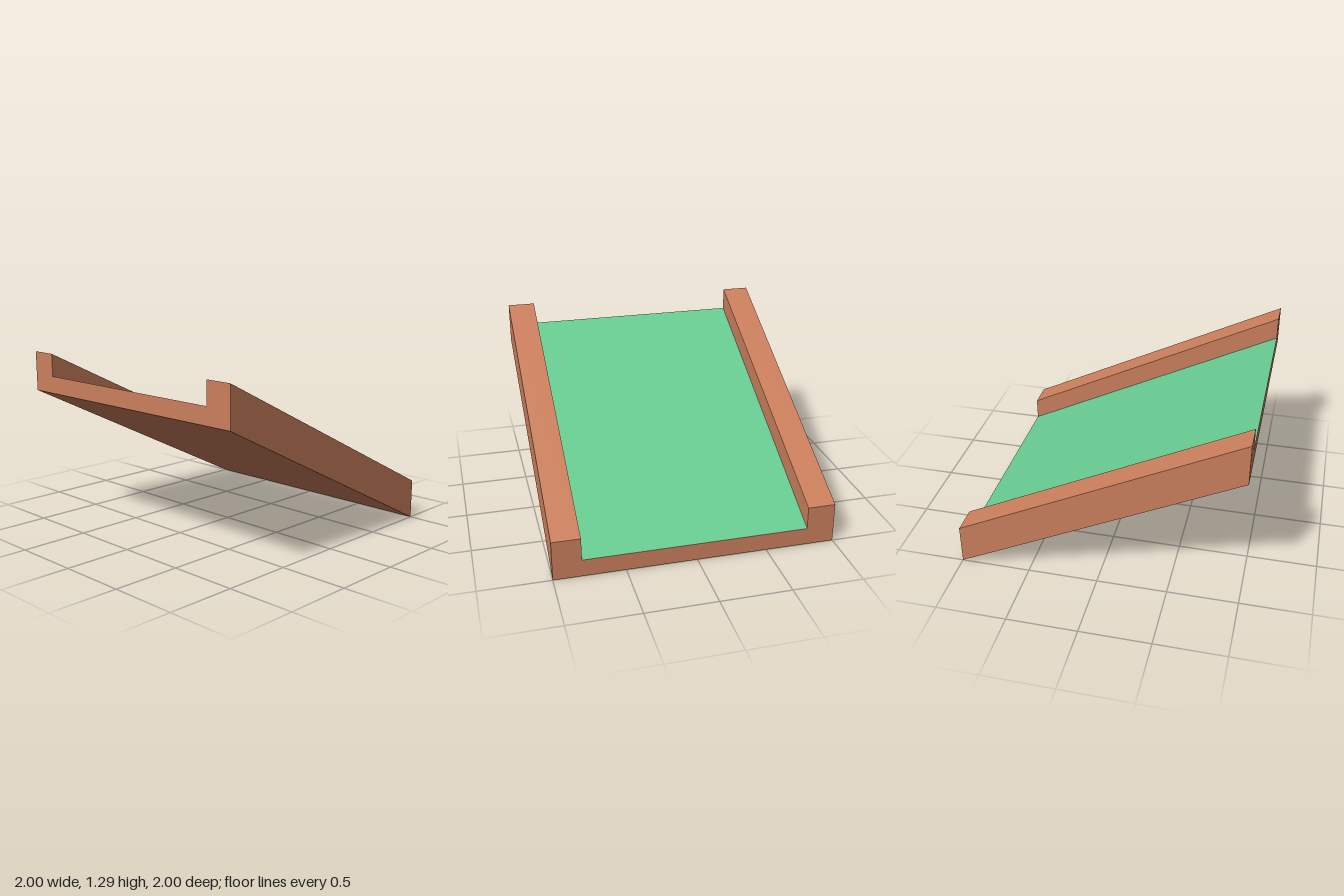
import * as THREE from 'three';

export function createModel() {
  const group = new THREE.Group();
  group.name = 'slopedTrack';

  const brown = new THREE.MeshStandardMaterial({ color: 0xcb7f5d });
  brown.name = 'terracotta';
  const green = new THREE.MeshStandardMaterial({ color: 0x68cb91 });
  green.name = 'turfGreen';

  const height = 0.29, floor = 0.125, inner = 0.8;

  // Shear that lifts the front end by 1 while the end faces stay vertical
  const slope = new THREE.Matrix4().set(
    1, 0, 0, 0,
    0, 1, 0.5, 0.5,
    0, 0, 1, 0,
    0, 0, 0, 1
  );

  const add = (name, geometry, material) => {
    const mesh = new THREE.Mesh(geometry.applyMatrix4(slope), material);
    mesh.name = name;
    group.add(mesh);
  };

  // Frame: U-shaped section with a raised kerb on each side
  const section = new THREE.Shape([
    [-1, 0], [1, 0], [1, height], [inner, height],
    [inner, floor], [-inner, floor], [-inner, height], [-1, height],
  ].map(([x, y]) => new THREE.Vector2(x, y)));
  add('frame', new THREE.ExtrudeGeometry(section, { depth: 2, bevelEnabled: false })
    .translate(0, 0, -1), brown);

  // Turf: a thin face laid on the floor between the kerbs
  add('turf', new THREE.PlaneGeometry(inner * 2, 2)
    .rotateX(-Math.PI / 2).translate(0, floor + 0.002, 0), green);

  return group;
}
